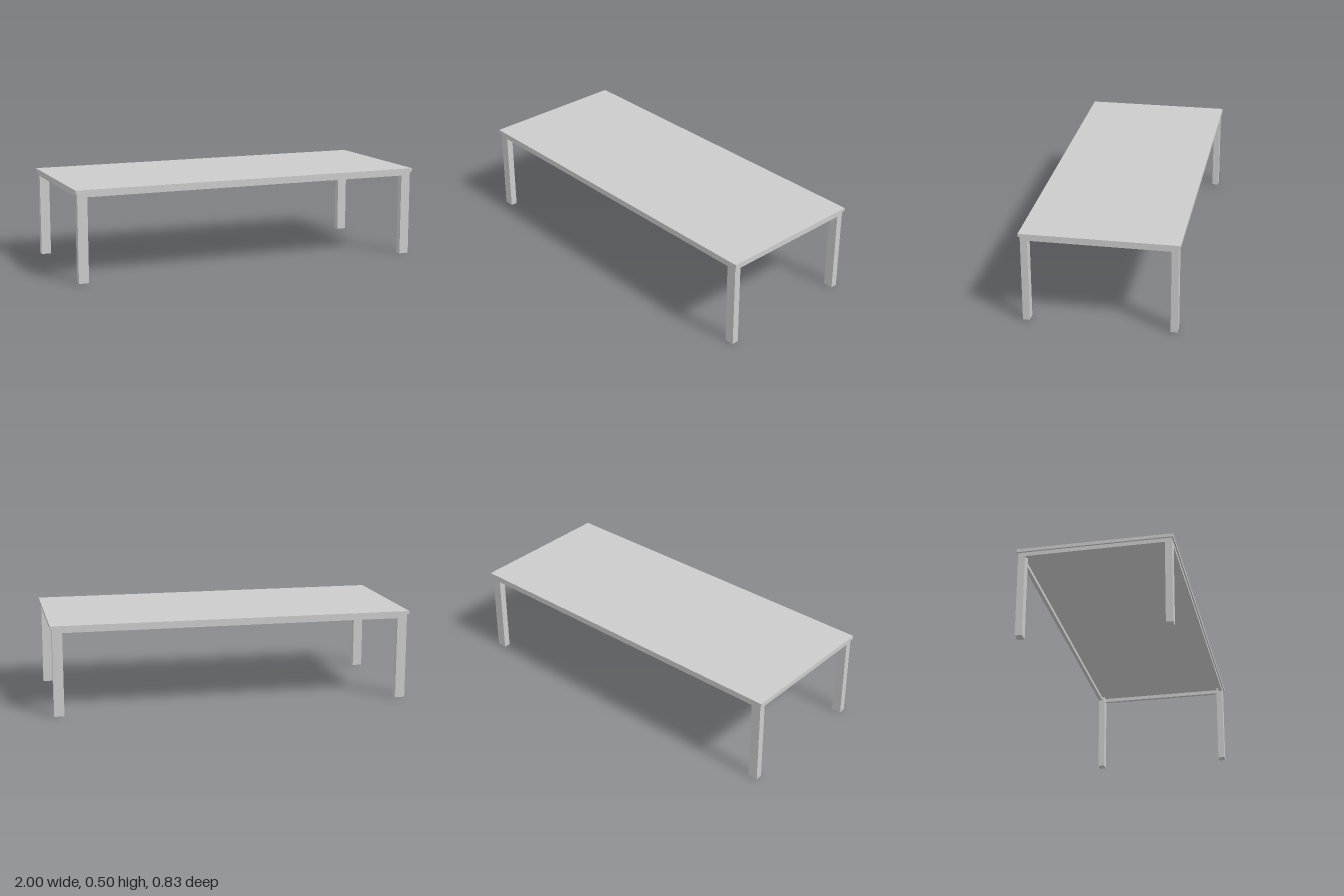
import * as THREE from 'three';

export function createModel() {
  const table = new THREE.Group();
  table.name = 'table';
  const material = new THREE.MeshStandardMaterial({ color: 0xcccccc, flatShading: true });

  const topY = 0.498, slabY = 0.48, apronY = 0.458; // slab top, slab underside, apron underside
  const outX = 0.99, outZ = 0.407;                  // outer faces of the frame
  const legX = 0.055, legZ = 0.037, rail = 0.02;    // leg section and apron thickness

  // Box given by its size, its bottom height and its centre
  const box = (name, w, h, d, x, y, z) => {
    const mesh = new THREE.Mesh(new THREE.BoxGeometry(w, h, d), material);
    mesh.name = name;
    mesh.position.set(x, y + h / 2, z);
    table.add(mesh);
  };

  // Flat slab
  box('tableTop', 2, topY - slabY, 0.83, 0, slabY, 0);

  for (const [s, side] of [[1, 'left'], [-1, 'right']]) {
    // Legs at the four corners
    for (const [t, end] of [[1, 'Front'], [-1, 'Back']])
      box(side + end + 'Leg', legX, slabY, legZ, s * (outX - legX / 2), 0, t * (outZ - legZ / 2));

    // Short apron between the legs of one end
    box(side + 'Apron', rail, slabY - apronY, 2 * (outZ - legZ), s * (outX - rail / 2), apronY, 0);
  }

  // Long aprons, flush with the outside of the legs
  for (const [t, end] of [[1, 'front'], [-1, 'back']])
    box(end + 'Apron', 2 * (outX - legX), slabY - apronY, rail, 0, apronY, t * (outZ - rail / 2));

  return table;
}
